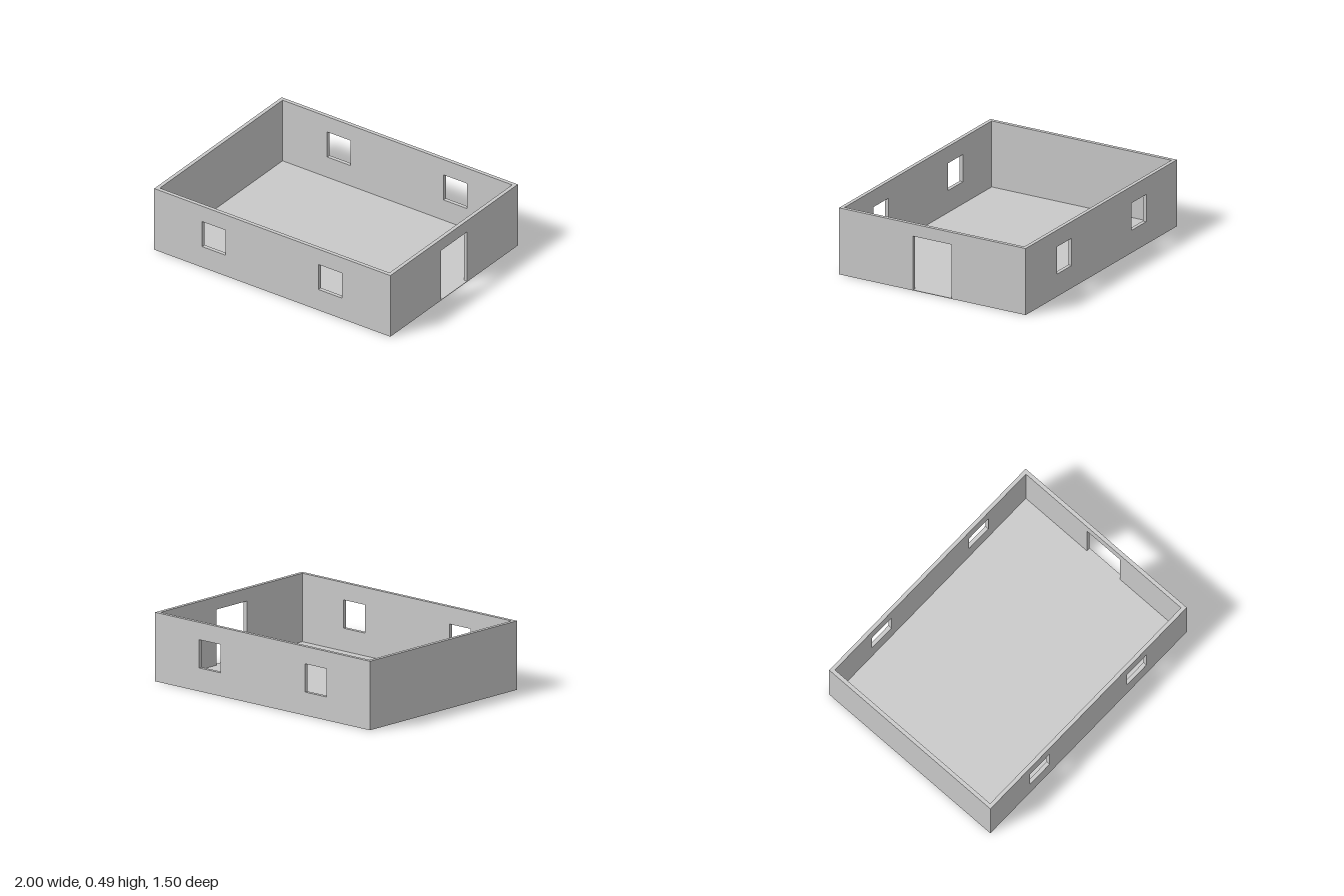
import * as THREE from 'three';

const WIDTH = 2, DEPTH = 1.504, HEIGHT = 0.49, WALL = 0.028, FLOOR = 0.004;

// Rectangular outline from corner (x0, y0) to corner (x1, y1)
function rect(PathType, x0, y0, x1, y1) {
  return new PathType([
    new THREE.Vector2(x0, y0), new THREE.Vector2(x1, y0),
    new THREE.Vector2(x1, y1), new THREE.Vector2(x0, y1),
  ]);
}

export function createModel() {
  const group = new THREE.Group();
  const plaster = new THREE.MeshStandardMaterial({ color: 0xc9c9c9 });
  plaster.name = 'light grey plaster';

  function add(name, geometry, x = 0, y = 0, z = 0) {
    const mesh = new THREE.Mesh(geometry, plaster);
    mesh.name = name;
    mesh.position.set(x, y, z);
    group.add(mesh);
    return mesh;
  }
  const extrude = (shape) =>
    new THREE.ExtrudeGeometry(shape, { depth: WALL, bevelEnabled: false }).translate(0, 0, -WALL / 2);

  // Thin floor slab
  add('floor', new THREE.BoxGeometry(WIDTH, FLOOR, DEPTH), 0, FLOOR / 2, 0);

  // Long walls, each with two square windows
  for (const [name, side] of [['frontWall', 1], ['backWall', -1]]) {
    const shape = rect(THREE.Shape, -WIDTH / 2, FLOOR, WIDTH / 2, HEIGHT);
    for (const x of [-0.495, 0.49]) {
      shape.holes.push(rect(THREE.Path, x - 0.099, 0.166, x + 0.099, 0.367));
    }
    add(name, extrude(shape), 0, 0, side * (DEPTH - WALL) / 2);
  }

  // Left wall with a doorway down to the floor
  const half = DEPTH / 2 - WALL;
  const doorWall = new THREE.Shape([
    [-half, FLOOR], [-0.156, FLOOR], [-0.156, 0.4], [0.154, 0.4],
    [0.154, FLOOR], [half, FLOOR], [half, HEIGHT], [-half, HEIGHT],
  ].map(([x, y]) => new THREE.Vector2(x, y)));
  add('doorWall', extrude(doorWall), (WIDTH - WALL) / 2).rotation.y = Math.PI / 2;

  // Plain right wall
  add('plainWall', new THREE.BoxGeometry(WALL, HEIGHT - FLOOR, half * 2),
    -(WIDTH - WALL) / 2, (HEIGHT + FLOOR) / 2, 0);

  return group;
}
